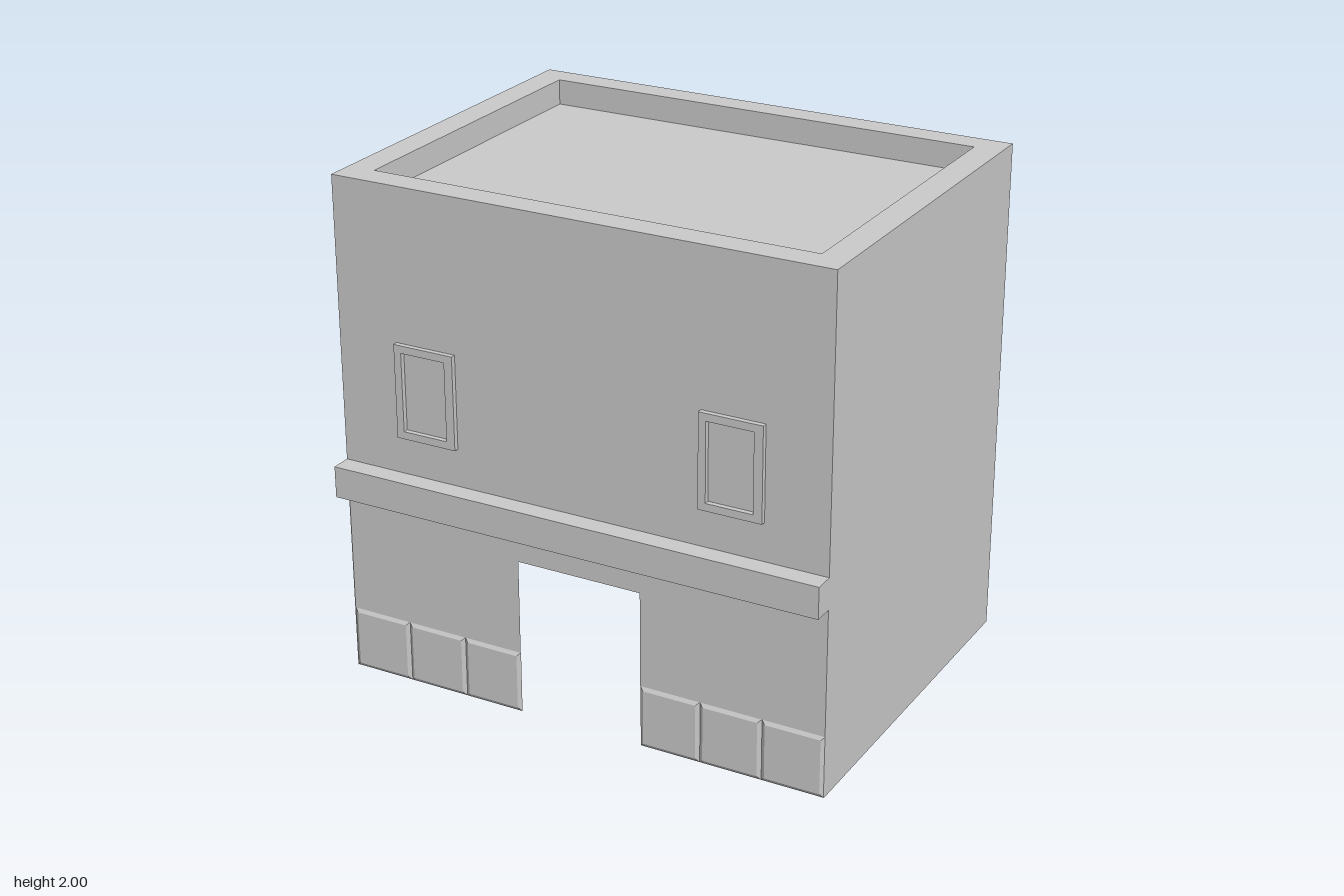
import * as THREE from 'three';

const material = new THREE.MeshStandardMaterial({ color: 0xcccccc, side: THREE.DoubleSide, flatShading: true });
const WALL = 0.71, BACK = -0.79, LEDGE = 0.79, ROOF = 2;

// Four corners of a rectangle, counterclockwise seen from +z
const rect = (x0, x1, y0, y1, z) => [[x0, y0, z], [x1, y0, z], [x1, y1, z], [x0, y1, z]];

// Open-backed shell through successive rectangles, closed by the last one
function shell(loops) {
  const pos = [];
  const quad = (a, b, c, d) => pos.push(...a, ...b, ...c, ...a, ...c, ...d);
  for (let k = 0; k < loops.length - 1; k++) {
    for (let i = 0; i < 4; i++) {
      const j = (i + 1) % 4;
      quad(loops[k][i], loops[k][j], loops[k + 1][j], loops[k + 1][i]);
    }
  }
  quad(...loops[loops.length - 1]);
  const geometry = new THREE.BufferGeometry();
  geometry.setAttribute('position', new THREE.Float32BufferAttribute(pos, 3));
  geometry.computeVertexNormals();
  return geometry;
}

const path = (x0, x1, y0, y1, Type = THREE.Shape) =>
  new Type(rect(x0, x1, y0, y1, 0).map(([x, y]) => new THREE.Vector2(x, y)));

export function createModel() {
  const model = new THREE.Group();
  const add = (name, geometry) => {
    const mesh = new THREE.Mesh(geometry, material);
    mesh.name = name;
    model.add(mesh);
    return mesh;
  };

  // Upper front wall, open behind the two windows
  const upper = path(-1, 1, 0.88, ROOF);
  for (const x of [-0.75, 0.5]) upper.holes.push(path(x, x + 0.25, 1.03, 1.4, THREE.Path));
  add('upperFrontWall', new THREE.ShapeGeometry(upper)).position.z = WALL;

  // Lower front wall around the doorway, above the base blocks
  const lower = new THREE.Shape([
    [-1, 0.25], [-0.255, 0.25], [-0.255, 0.63], [0.255, 0.63],
    [0.255, 0.25], [1, 0.25], [1, 0.755], [-1, 0.755],
  ].map(([x, y]) => new THREE.Vector2(x, y)));
  add('lowerFrontWall', new THREE.ShapeGeometry(lower)).position.z = WALL - 0.003;

  // Projecting ledge, hollow behind
  add('ledge', shell([rect(-1, 1, 0.755, 0.88, WALL), rect(-1, 1, 0.755, 0.88, LEDGE)]));

  // Raised window frames with recessed panes
  for (const [name, x] of [['rightWindow', -0.75], ['leftWindow', 0.5]]) {
    const outer = z => rect(x, x + 0.25, 1.03, 1.4, z);
    const inner = z => rect(x + 0.03, x + 0.215, 1.06, 1.37, z);
    add(name, shell([outer(WALL), outer(0.73), inner(0.73), inner(WALL)]));
  }

  // Chamfered base blocks on both sides of the doorway
  const edges = [0.255, 0.5, 0.75, 1], b = 0.015;
  for (const side of [-1, 1]) {
    for (let i = 0; i < 3; i++) {
      const x0 = side > 0 ? edges[i] : -edges[i + 1];
      const x1 = side > 0 ? edges[i + 1] : -edges[i];
      add('baseBlock', shell([
        rect(x0, x1, 0, 0.25, WALL - 0.005),
        rect(x0 + b, x1 - b, b, 0.25 - b, WALL + 0.004),
      ]));
    }
  }

  // Side walls; the back and underside stay open
  for (const side of [-1, 1]) {
    const wall = add(side > 0 ? 'leftWall' : 'rightWall', new THREE.PlaneGeometry(WALL - BACK, ROOF));
    wall.rotation.y = side * Math.PI / 2;
    wall.position.set(side, ROOF / 2, (WALL + BACK) / 2);
  }

  // Roof rim with sunken deck, drawn flat then laid down
  add('roof', shell([
    rect(-1, 1, -WALL, -BACK, ROOF),
    rect(-0.89, 0.89, -0.6, 0.685, ROOF),
    rect(-0.89, 0.89, -0.6, 0.685, ROOF - 0.1),
  ]).rotateX(-Math.PI / 2));

  return model;
}
